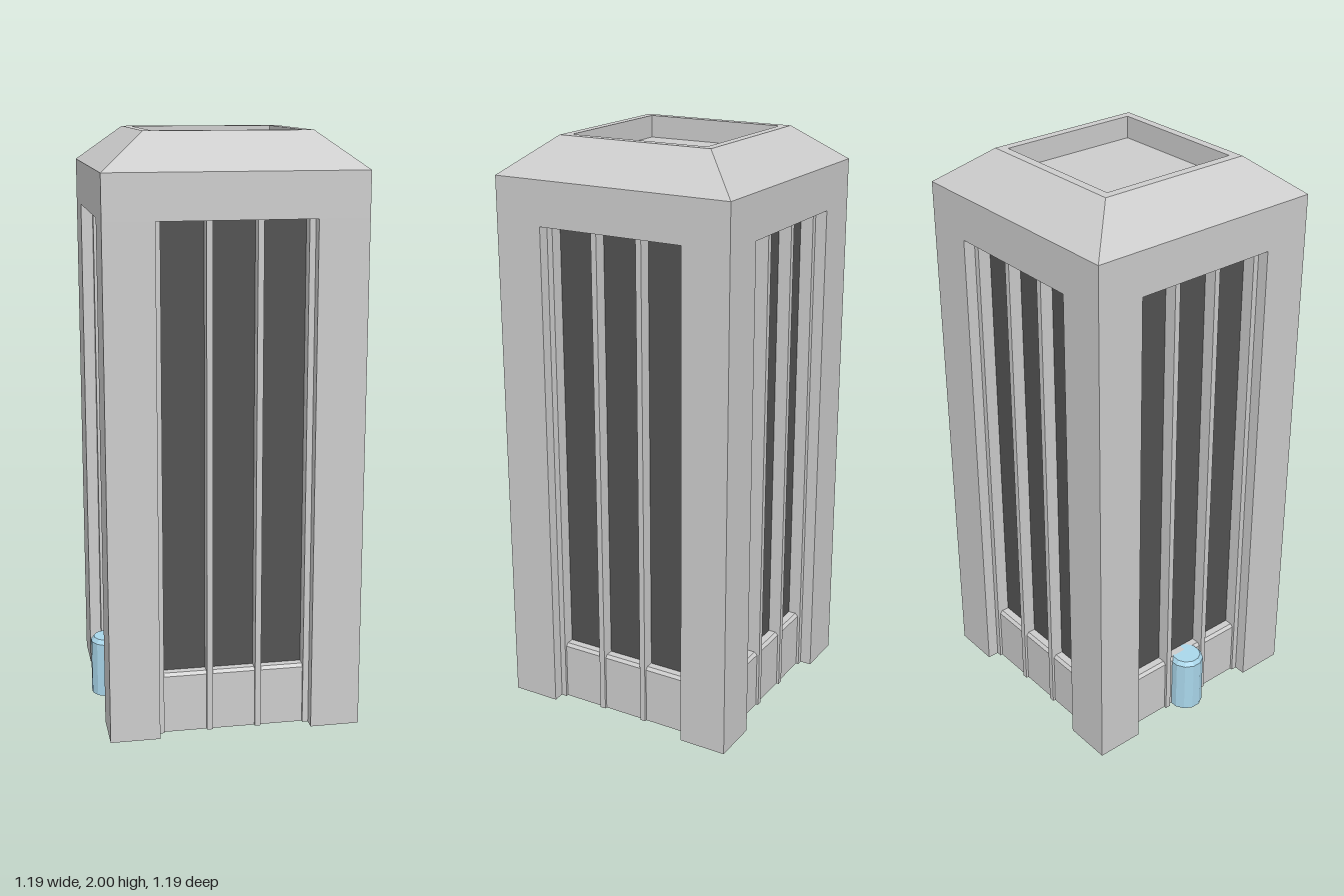
import * as THREE from 'three';

const H = 0.4275;       // half width of the tower
const W = 0.26;         // half width of a window opening
const TOP = 1.73;       // head of the openings
const FRONT = H - 0.04; // front plane of the mullions
const GLASS = H - 0.085;

const grey = new THREE.MeshStandardMaterial({ color: 0xcccccc, flatShading: true });
const dark = new THREE.MeshStandardMaterial({ color: 0x525252, flatShading: true });
const blue = new THREE.MeshStandardMaterial({ color: 0xa9d6ea, flatShading: true });

function add(parent, name, geometry, material, x = 0, y = 0, z = 0) {
  const mesh = new THREE.Mesh(geometry, material);
  mesh.name = name;
  mesh.position.set(x, y, z);
  parent.add(mesh);
  return mesh;
}

// Square footprint with a shallow notch in each side
function footprint() {
  const points = [];
  for (let k = 0; k < 4; k++) {
    const side = [[-H, -H], [-W, -H], [-W, -GLASS + 0.01], [W, -GLASS + 0.01], [W, -H]];
    for (const [x, y] of side) {
      points.push(new THREE.Vector2(x, y).rotateAround(new THREE.Vector2(), k * Math.PI / 2));
    }
  }
  return new THREE.Shape(points);
}

// One window wall: glass, mullions and low panels
function windowWall() {
  const wall = new THREE.Group();
  wall.name = 'windowWall';
  add(wall, 'glass', new THREE.BoxGeometry(2 * W, TOP, 0.01), dark, 0, TOP / 2, GLASS - 0.005);

  const depth = FRONT - GLASS;
  for (const x of [-0.25, -0.083, 0.083, 0.25]) {
    add(wall, 'mullion', new THREE.BoxGeometry(0.02, TOP, depth), grey, x, TOP / 2, GLASS + depth / 2);
  }

  // Panel profile with a chamfered top edge, in (z, y)
  const front = FRONT - 0.009;
  const profile = new THREE.Shape([
    [GLASS, 0], [front, 0], [front, 0.2], [front - 0.01, 0.21], [GLASS, 0.21],
  ].map(([z, y]) => new THREE.Vector2(z, y)));
  const width = 0.147;
  for (const x of [-0.1665, 0, 0.1665]) {
    const geometry = new THREE.ExtrudeGeometry(profile, { depth: width, bevelEnabled: false });
    geometry.rotateY(-Math.PI / 2);
    add(wall, 'lowPanel', geometry, grey, x + width / 2, 0, 0);
  }
  return wall;
}

export function createModel() {
  const model = new THREE.Group();
  model.name = 'tower';
  const tower = new THREE.Group();
  tower.name = 'turnedTower';
  tower.rotation.y = -0.615;
  model.add(tower);

  // Corner piers and core
  const body = new THREE.ExtrudeGeometry(footprint(), { depth: TOP, bevelEnabled: false });
  body.rotateX(-Math.PI / 2);
  add(tower, 'cornerPiers', body, grey);

  // Lintel band, sloped roof and sunken roof deck, as one four-sided lathe
  const profile = [
    [0, TOP], [H, TOP], [H, 1.88], [0.277, 2], [0.2475, 2], [0.2475, 1.925], [0, 1.925],
  ].map(([r, y]) => new THREE.Vector2(r * Math.SQRT2, y));
  add(tower, 'roof', new THREE.LatheGeometry(profile, 4, Math.PI / 4), grey);

  for (let k = 0; k < 4; k++) {
    const wall = windowWall();
    wall.rotation.y = k * Math.PI / 2;
    tower.add(wall);
  }

  // Round entrance with a chamfered top
  const door = [[0, 0], [0.061, 0], [0.061, 0.195], [0.05, 0.21], [0, 0.21]]
    .map(([r, y]) => new THREE.Vector2(r, y));
  add(tower, 'revolvingDoor', new THREE.LatheGeometry(door, 12, Math.PI / 12), blue, 0, 0, FRONT);

  return model;
}
